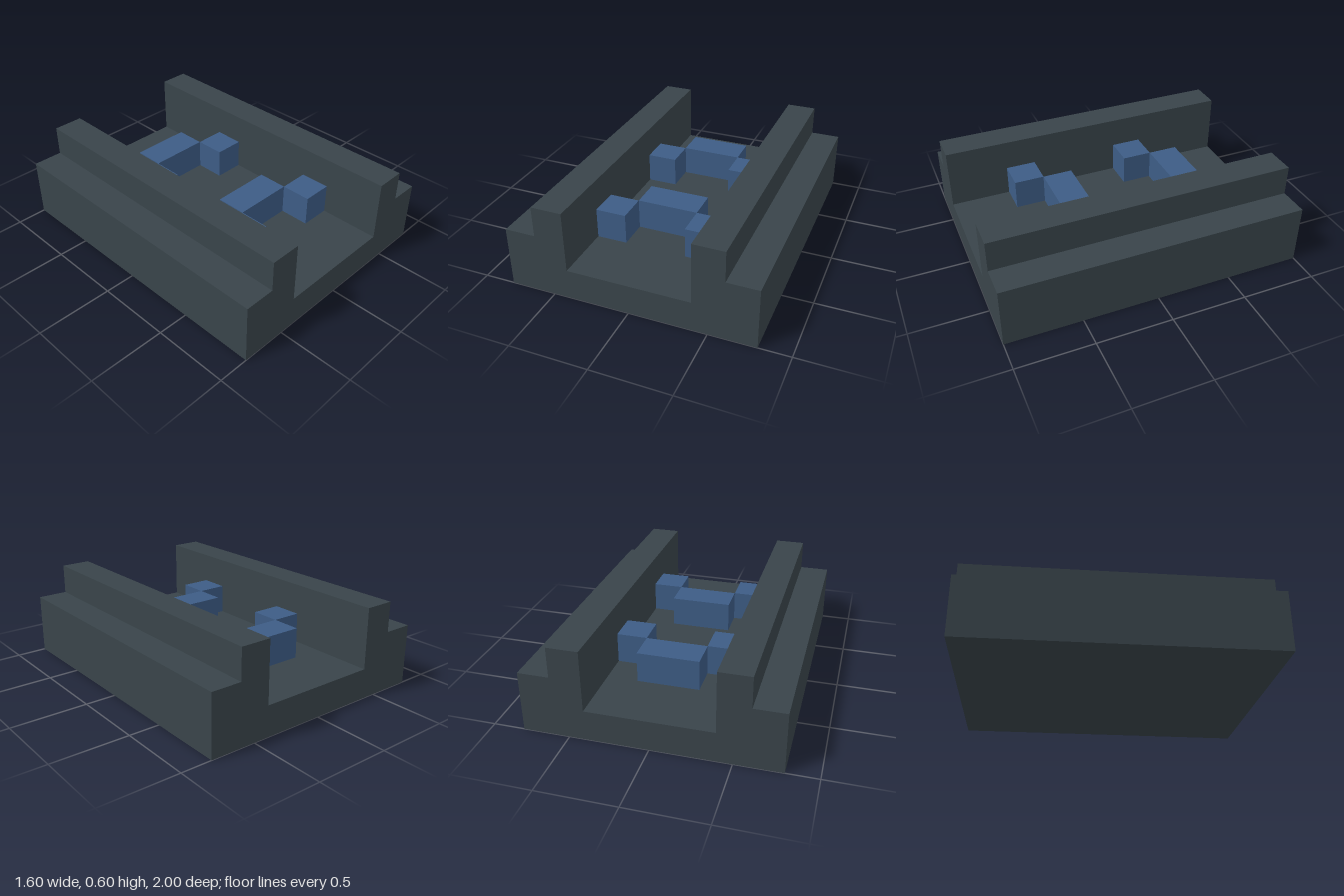
import * as THREE from 'three';

export function createModel() {
  const group = new THREE.Group();
  const slate = new THREE.MeshStandardMaterial({ color: 0x39444a });
  slate.name = 'dark slate';
  const blue = new THREE.MeshStandardMaterial({ color: 0x3d5c85 });
  blue.name = 'arrow blue';

  // Stepped track: one cross-section with shoulders, rails and a sunken bed
  const half = [[0.8, 0], [0.8, 0.4], [0.6, 0.4], [0.6, 0.6], [0.4, 0.6], [0.4, 0.2]];
  const outline = [...half, ...half.map(([x, y]) => [-x, y]).reverse()];
  const section = new THREE.Shape(outline.map(([x, y]) => new THREE.Vector2(x, y)));
  const trackGeometry = new THREE.ExtrudeGeometry(section, { depth: 2, bevelEnabled: false });
  trackGeometry.translate(0, 0, -1);
  const track = new THREE.Mesh(trackGeometry, slate);
  track.name = 'track';
  group.add(track);

  // Blocks standing on the bed
  const addBlock = (parent, name, width, x, z) => {
    const block = new THREE.Mesh(new THREE.BoxGeometry(width, 0.2, 0.2), blue);
    block.name = name;
    block.position.set(x, 0.3, z);
    parent.add(block);
  };

  // Two chevrons pointing to the back, each a wide tip and two side blocks
  for (const [name, z] of [['rearArrow', -0.4], ['frontArrow', 0.4]]) {
    const arrow = new THREE.Group();
    arrow.name = name;
    arrow.position.z = z;
    addBlock(arrow, 'arrowTip', 0.4, 0, -0.1);
    addBlock(arrow, 'arrowLeftWing', 0.2, 0.3, 0.1);
    addBlock(arrow, 'arrowRightWing', 0.2, -0.3, 0.1);
    group.add(arrow);
  }
  return group;
}
